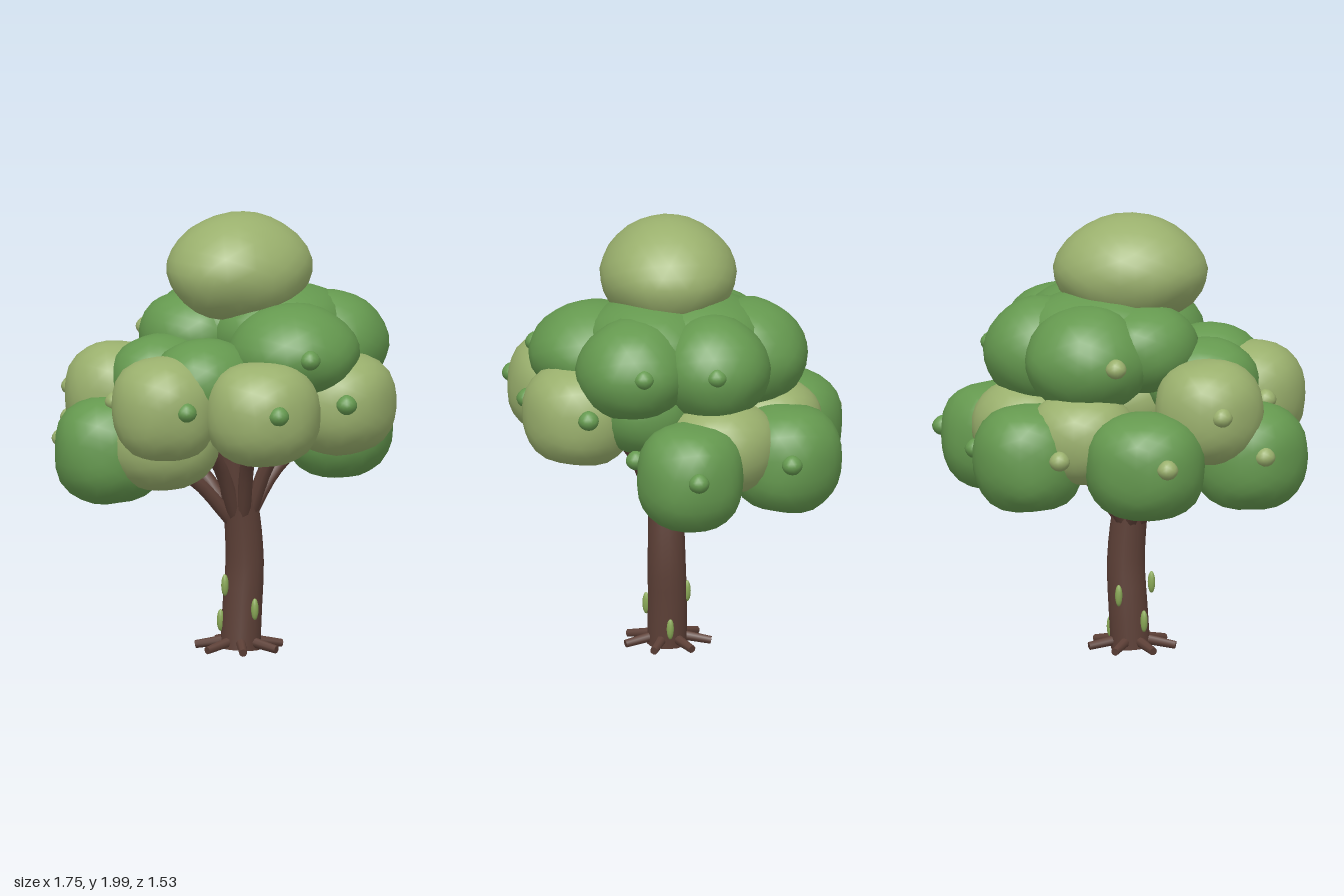
import * as THREE from 'three';
import { mergeVertices } from 'three/addons/utils/BufferGeometryUtils.js';

const material = (name, color) => {
  const m = new THREE.MeshStandardMaterial({ color });
  m.name = name;
  return m;
};

export function createModel() {
  const tree = new THREE.Group();
  tree.name = 'tree';
  const bark = material('bark brown', 0x5d4037);
  const dark = material('leaf green', 0x65994f);
  const light = material('pale leaf green', 0x9ab06d);
  const moss = material('moss green', 0x8aa957);

  const add = (name, geometry, mat, parent = tree) => {
    const mesh = new THREE.Mesh(geometry, mat);
    mesh.name = name;
    parent.add(mesh);
    return mesh;
  };
  const group = (name) => {
    const g = new THREE.Group();
    g.name = name;
    tree.add(g);
    return g;
  };
  const V = (x, y, z) => new THREE.Vector3(x, y, z);

  // Rounded, slightly lumpy foliage, round from above: power > 2 squares the
  // side outline, taper narrows the top into a dome
  function lump(radii, power, taper, seed, detail = 4) {
    let g = new THREE.IcosahedronGeometry(1, detail);
    g.deleteAttribute('normal');
    g.deleteAttribute('uv');
    g = mergeVertices(g, 1e-4);
    const p = g.attributes.position;
    const v = V(0, 0, 0);
    for (let i = 0; i < p.count; i++) {
      v.fromBufferAttribute(p, i).normalize();
      const n = Math.hypot(v.x, v.z) ** power + Math.abs(v.y) ** power;
      const wave = Math.sin(v.x * 5 + seed) * Math.sin(v.z * 5 + seed * 2.3) * Math.cos(v.y * 3 + seed);
      v.multiplyScalar(n ** (-1 / power) * (1 + 0.025 * wave));
      const narrow = 1 - taper * Math.max(0, v.y);
      p.setXYZ(i, v.x * radii[0] * narrow, v.y * radii[1], v.z * radii[2] * narrow);
    }
    g.computeVertexNormals();
    return g;
  }

  // Trunk: tapering curved column, built as a tube with scaled rings
  const trunkPath = new THREE.CatmullRomCurve3([
    V(-0.03, 0.01, 0.07), V(-0.018, 0.2, 0.07), V(-0.008, 0.4, 0.075),
    V(-0.025, 0.62, 0.075), V(-0.06, 0.8, 0.07), V(-0.08, 0.95, 0.07),
  ]);
  const trunkGeo = new THREE.TubeGeometry(trunkPath, 14, 0.09, 16);
  const tp = trunkGeo.attributes.position;
  for (let i = 0; i < tp.count; i++) {
    const t = Math.floor(i / 17) / 14;
    const c = trunkPath.getPointAt(t);
    const v = V(0, 0, 0).fromBufferAttribute(tp, i).sub(c).multiplyScalar(1 - 0.24 * t * t).add(c);
    tp.setXYZ(i, v.x, v.y, v.z);
  }
  add('trunk', trunkGeo, bark);
  const base = add('trunkBase', new THREE.CircleGeometry(0.09, 16), bark);
  base.rotation.x = Math.PI / 2;
  base.position.set(-0.03, 0.01, 0.07);

  // Roots: short rods fanning out around the foot
  const roots = group('roots');
  for (let i = 0; i < 7; i++) {
    const a = Math.PI + (i / 7) * Math.PI * 2;
    const x = Math.cos(a), z = Math.sin(a);
    const inner = V(-0.035 + x * 0.05, 0.05, 0.07 + z * 0.05);
    const outer = V(-0.035 + x * 0.2, 0.024, 0.07 + z * 0.2);
    const d = outer.clone().sub(inner);
    const root = add('root', new THREE.CylinderGeometry(0.018, 0.024, d.length(), 8), bark, roots);
    root.position.copy(inner).add(outer).multiplyScalar(0.5);
    root.quaternion.setFromUnitVectors(V(0, 1, 0), d.normalize());
  }

  // Branches: curved limbs rising into the foliage
  const branches = group('branches');
  for (const [x, y, z] of [
    [0.42, 0.95, 0.07], [0.24, 0.95, -0.27], [-0.16, 0.95, -0.32], [-0.46, 0.93, -0.1],
    [-0.38, 1.05, 0.16], [-0.22, 1.1, 0.36], [0.08, 1.1, 0.36], [0.06, 1.1, -0.1], [-0.08, 1.15, 0.16],
  ]) {
    const start = V(-0.025 + x * 0.1, 0.6, 0.07 + (z - 0.07) * 0.12);
    const mid = V(start.x + (x - start.x) * 0.4, 0.6 + (y - 0.6) * 0.56, start.z + (z - start.z) * 0.4);
    const path = new THREE.CatmullRomCurve3([start, mid, V(x, y, z)]);
    add('branch', new THREE.TubeGeometry(path, 8, 0.032, 8), bark, branches);
  }

  // Foliage: one ring of clumps at a time, each clump a centre and radii
  const foliage = group('foliage');
  const ring = (name, mat, power, taper, clumps) => clumps.forEach(([x, y, z, ...radii], i) => {
    add(name, lump(radii, power, taper, i * 1.7 + y), mat, foliage).position.set(x, y, z);
  });
  ring('lowerClump', dark, 2.6, 0, [
    [0.58, 0.96, 0.06, 0.25, 0.24, 0.24],
    [0.355, 0.965, -0.41, 0.25, 0.24, 0.25],
    [-0.19, 0.965, -0.5, 0.27, 0.24, 0.25],
    [-0.61, 0.96, -0.17, 0.26, 0.24, 0.24],
  ]);
  ring('middleClump', light, 2.5, 0, [
    [-0.295, 1.17, 0.5, 0.265, 0.235, 0.25],
    [0.175, 1.165, 0.5, 0.26, 0.23, 0.255],
    [-0.57, 1.18, 0.15, 0.24, 0.235, 0.24],
    [-0.445, 1.18, -0.29, 0.245, 0.235, 0.24],
  ]);
  ring('innerClump', light, 2.3, 0, [
    [-0.49, 1.01, 0.04, 0.26, 0.22, 0.26],
    [0.41, 1.05, -0.1, 0.25, 0.21, 0.26],
    [0.12, 1.06, -0.37, 0.25, 0.21, 0.24],
    [0.02, 1.17, 0.08, 0.33, 0.2, 0.32],
  ]);
  ring('upperClump', dark, 2.1, 0.1, [
    [-0.01, 1.41, 0.4, 0.3, 0.215, 0.3],
    [0.33, 1.4, 0.28, 0.265, 0.23, 0.26],
    [0.35, 1.4, -0.08, 0.265, 0.24, 0.26],
    [0.11, 1.4, -0.27, 0.29, 0.24, 0.28],
  ]);
  ring('upperFill', dark, 2.2, 0, [
    [-0.12, 1.43, -0.13, 0.25, 0.2, 0.26],
    [-0.38, 1.27, -0.07, 0.255, 0.2, 0.22],
    [-0.37, 1.27, 0.2, 0.25, 0.21, 0.23],
    [0.28, 1.2, 0.22, 0.22, 0.2, 0.22],
    [0.13, 1.46, 0.17, 0.35, 0.21, 0.3],
    [0.1, 1.47, -0.06, 0.36, 0.2, 0.31],
  ]);
  ring('crown', light, 2.1, 0.13, [[-0.03, 1.755, 0.065, 0.35, 0.245, 0.308]]);

  // Buds: small knobs on the outside of the clumps
  const buds = group('buds');
  const addBuds = (mat, points) => points.forEach(([x, y, z]) => {
    add('bud', lump([0.048, 0.046, 0.048], 1.9, 0.15, x * 9, 2), mat, buds).position.set(x, y, z);
  });
  addBuds(dark, [
    [0.825, 1.0, 0.06], [0.41, 1.0, 0.28], [0.6, 1.0, -0.4],
    [0.43, 1.2, 0.5], [0.02, 1.2, 0.715], [-0.4, 1.2, 0.715], [-0.64, 1.2, 0.365],
    [-0.145, 1.415, 0.65], [0.585, 1.42, -0.06], [0.565, 1.42, 0.27],
  ]);
  addBuds(light, [
    [0.18, 1.0, -0.62], [-0.33, 1.0, -0.725], [-0.715, 1.0, -0.37],
    [-0.54, 1.2, -0.495], [-0.67, 1.2, -0.07], [-0.06, 1.41, -0.515],
  ]);

  // Moss: thin upright leaves on the trunk
  const leaves = group('mossLeaves');
  for (const [x, y, z] of [
    [-0.125, 0.31, 0.07], [-0.03, 0.2, 0.165], [0.062, 0.1, 0.07], [0.01, 0.26, -0.015], [-0.1, 0.14, 0.015],
  ]) {
    const leaf = add('mossLeaf', new THREE.SphereGeometry(1, 10, 8), moss, leaves);
    leaf.scale.set(0.017, 0.05, 0.017);
    leaf.position.set(x, y, z);
  }
  return tree;
}
